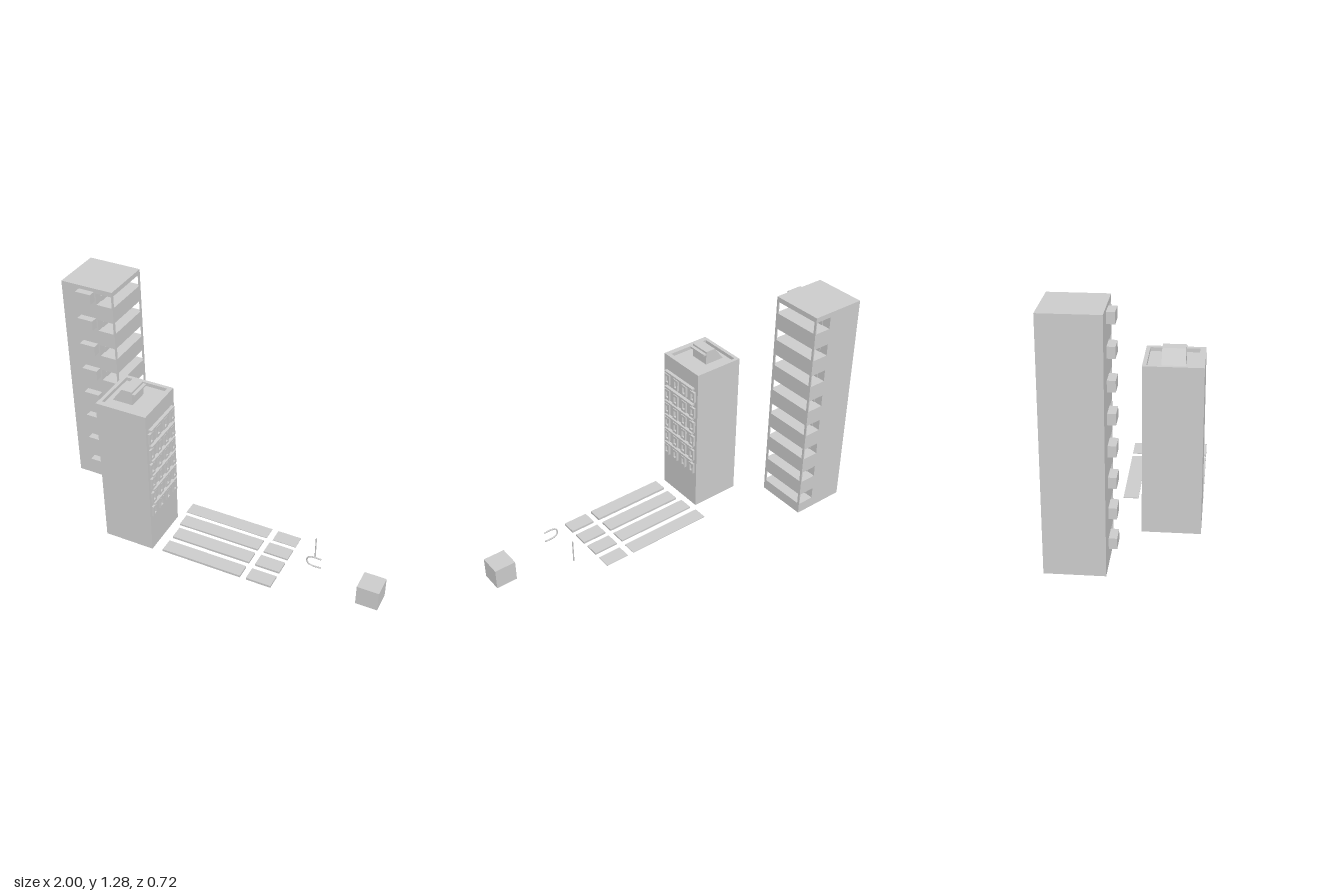
import * as THREE from 'three';

export function createModel() {
  const model = new THREE.Group();
  const concrete = new THREE.MeshStandardMaterial({ color: 0xcccccc });
  concrete.name = 'concrete grey';

  const group = (name) => {
    const g = new THREE.Group();
    g.name = name;
    model.add(g);
    return g;
  };
  const add = (parent, name, geometry) => {
    const mesh = new THREE.Mesh(geometry, concrete);
    mesh.name = name;
    parent.add(mesh);
    return mesh;
  };
  // Box given by its limits on each axis
  const box = (parent, name, [x0, x1], [y0, y1], [z0, z1]) => {
    const mesh = add(parent, name, new THREE.BoxGeometry(x1 - x0, y1 - y0, z1 - z0));
    mesh.position.set((x0 + x1) / 2, (y0 + y1) / 2, (z0 + z1) / 2);
    return mesh;
  };
  const rect = (Type, x0, x1, y0, y1) => new Type([
    new THREE.Vector2(x0, y0), new THREE.Vector2(x1, y0),
    new THREE.Vector2(x1, y1), new THREE.Vector2(x0, y1),
  ]);

  // Tall tower: solid core, balcony floors with open sides, air conditioners
  const tall = group('tallTower');
  const depth = [-0.362, -0.067];
  box(tall, 'towerCore', [-1, -0.79], [0.01, 1.285], depth);
  let solidFrom = 0.01;
  for (let i = 0; i < 8; i++) {
    const y = 0.073 + i * 0.1595, top = y + 0.068;
    box(tall, 'balconyParapet', [-0.79, -0.69], [solidFrom, y], depth);
    for (const z of [-0.362, -0.081])
      box(tall, 'balconyPost', [-0.696, -0.69], [y, top], [z, z + 0.014]);
    box(tall, 'balconyDoor', [-0.791, -0.786], [y, y + 0.031], [-0.313, -0.112]);
    box(tall, 'airConditioner', [-0.892, -0.8], [y + 0.019, y + 0.075], [-0.067, -0.027]);
    solidFrom = top;
  }
  box(tall, 'balconyRoof', [-0.79, -0.69], [solidFrom, 1.285], depth);

  // Short tower with a sunken roof behind a parapet
  const short = group('shortTower');
  box(short, 'towerBody', [-0.56, -0.27], [0, 0.87], [0.06, 0.357]);
  const rim = rect(THREE.Shape, -0.56, -0.27, -0.357, -0.06);
  rim.holes.push(rect(THREE.Path, -0.54, -0.295, -0.327, -0.08));
  const parapet = add(short, 'roofParapet', new THREE.ExtrudeGeometry(rim, { depth: 0.02, bevelEnabled: false }));
  parapet.rotation.x = -Math.PI / 2;
  parapet.position.y = 0.87;

  // Stair house with a sloping back and a small canopy
  const hutShape = new THREE.Shape([
    new THREE.Vector2(-0.515, 0.87), new THREE.Vector2(-0.397, 0.87),
    new THREE.Vector2(-0.397, 0.948), new THREE.Vector2(-0.457, 0.948),
  ]);
  const hut = add(short, 'stairHouse', new THREE.ExtrudeGeometry(hutShape, { depth: 0.116, bevelEnabled: false }));
  hut.position.z = 0.149;
  box(short, 'stairCanopy', [-0.4, -0.379], [0.927, 0.937], [0.149, 0.265]);

  // Window frames and ledges on the facade
  const frameShape = rect(THREE.Shape, -0.02, 0.02, 0, 0.066);
  frameShape.holes.push(rect(THREE.Path, -0.011, 0.011, 0.014, 0.052));
  const frameGeometry = new THREE.ExtrudeGeometry(frameShape, { depth: 0.012, bevelEnabled: false });
  const rows = [0.226, 0.321, 0.416, 0.511, 0.606, 0.708];
  for (const y of rows) {
    for (const z of [0.096, 0.17, 0.245, 0.321]) {
      const frame = add(short, 'windowFrame', frameGeometry);
      frame.rotation.y = Math.PI / 2;
      frame.position.set(-0.27, y, z);
    }
    box(short, 'windowLedge', [-0.27, -0.251], [y + 0.079, y + 0.09], [0.087, 0.333]);
  }

  // Paving strips, each a long and a short slab
  const paving = group('paving');
  const strips = [
    [-0.236, 0.266, 0.303, -0.065, 0.015, 0.014],
    [-0.22, 0.263, 0.298, 0.047, 0.128, 0.02],
    [-0.205, 0.262, 0.298, 0.16, 0.241, 0.022],
    [-0.205, 0.262, 0.298, 0.277, 0.358, 0.023],
  ];
  for (const [x0, x1, x2, z0, z1, top] of strips) {
    box(paving, 'longSlab', [x0, x1], [0.01, top], [z0, z1]);
    box(paving, 'shortSlab', [x2, 0.44], [0.01, top], [z0, z1]);
  }

  // Upright pole and bent pipe
  const pole = add(model, 'pole', new THREE.CylinderGeometry(0.0035, 0.0035, 0.137, 8));
  pole.position.set(0.573, 0.1, 0.06);
  const bend = new THREE.CatmullRomCurve3([
    [0.658, 0.172], [0.61, 0.173], [0.587, 0.164], [0.579, 0.143],
    [0.587, 0.122], [0.61, 0.113], [0.658, 0.113],
  ].map(([x, y]) => new THREE.Vector3(x, y, 0.205)));
  add(model, 'bentPipe', new THREE.TubeGeometry(bend, 32, 0.004, 8));
  for (const y of [0.113, 0.172]) {
    const cap = add(model, 'pipeEnd', new THREE.CircleGeometry(0.004, 8));
    cap.rotation.y = Math.PI / 2;
    cap.position.set(0.658, y, 0.205);
  }

  // Loose block
  box(model, 'block', [0.88, 1], [0.01, 0.128], [0.146, 0.266]);

  return model;
}
